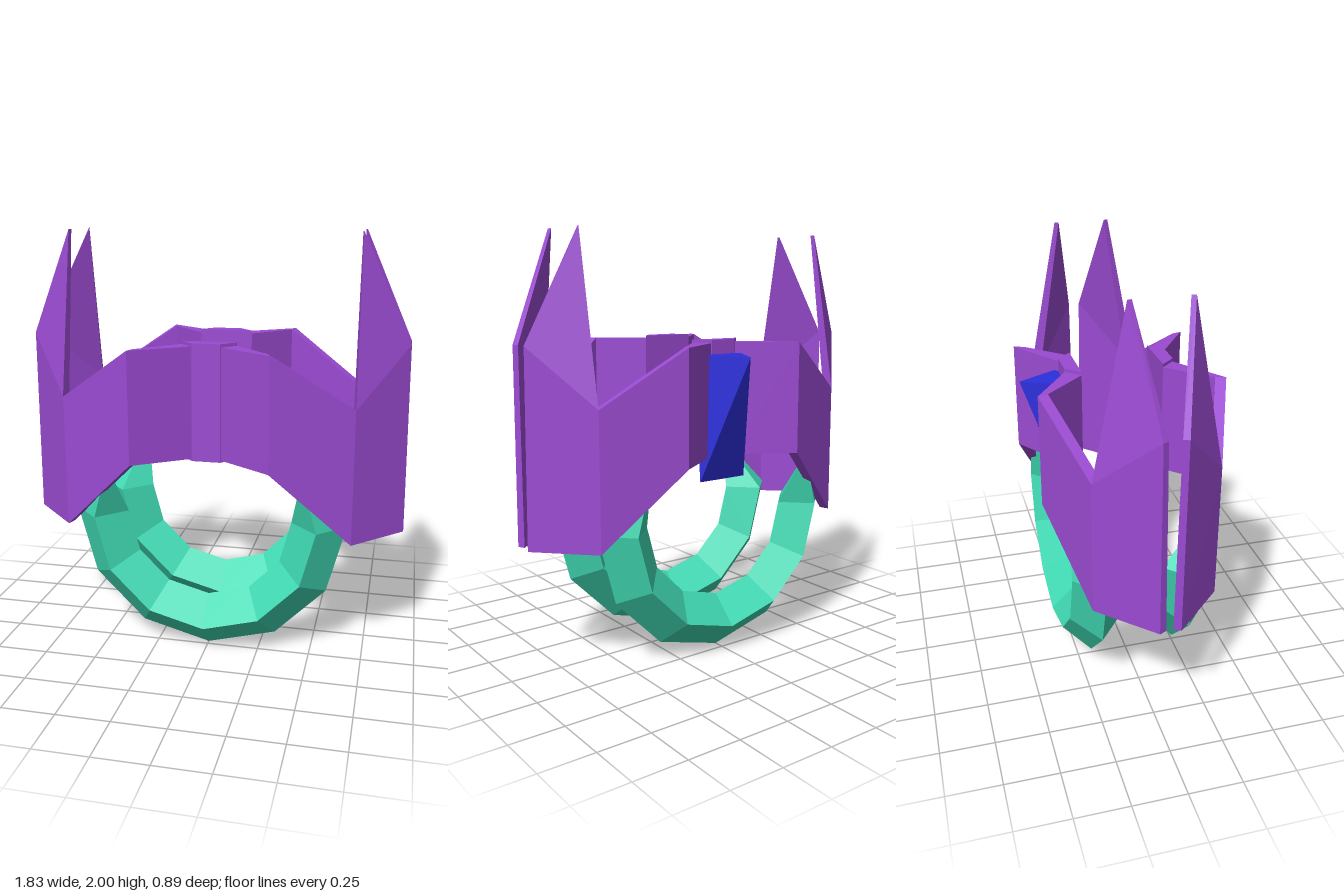
import * as THREE from 'three';
import { ConvexGeometry } from 'three/addons/geometries/ConvexGeometry.js';

const makeMaterial = (name, color) => {
  const m = new THREE.MeshStandardMaterial({ color, flatShading: true });
  m.name = name;
  return m;
};

// Flat-shaded geometry from points and triangle indices
function facets(points, index) {
  const indexed = new THREE.BufferGeometry();
  indexed.setAttribute('position', new THREE.Float32BufferAttribute(points.flat(), 3));
  indexed.setIndex(index);
  const g = indexed.toNonIndexed();
  g.computeVertexNormals();
  return g;
}

// Solid between a front polygon and a matching back polygon
function prism(front, back) {
  const n = front.length, index = [];
  for (let i = 1; i < n - 1; i++) index.push(0, i, i + 1, n, n + i + 1, n + i);
  for (let i = 0; i < n; i++) {
    const j = (i + 1) % n;
    index.push(i, n + i, n + j, i, n + j, j);
  }
  return facets([...front, ...back], index);
}

// Mirror a polygon across x, keeping its first corner and its facing
function mirror(poly) {
  const p = poly.map(([x, y, z]) => [-x, y, z]);
  return [p[0], ...p.slice(1).reverse()];
}

// Half ring with a diamond section and a raised point at each end
function halfRing() {
  const R = 0.53, t = 0.13, cy = 0.663, cz = 0.2125, steps = 6;
  const points = [], index = [];
  for (let k = 0; k <= steps; k++) {
    const a = Math.PI + (k / steps) * Math.PI;
    for (const [dr, dz] of [[t, 0], [0, t], [-t, 0], [0, -t]]) {
      points.push([(R + dr) * Math.cos(a), cy + (R + dr) * Math.sin(a), cz + dz]);
    }
  }
  const startTip = points.length, endTip = startTip + 1;
  for (const s of [-1, 1]) {
    points.push([s * R * Math.cos(Math.PI / 6), cy + R * 0.5, cz + t]);
  }
  for (let j = 0; j < 4; j++) {
    const j2 = (j + 1) % 4;
    for (let k = 0; k < steps; k++) {
      const a = k * 4 + j, b = a + 4, d = k * 4 + j2, c = d + 4;
      index.push(a, b, c, a, c, d);
    }
    index.push(j, j2, startTip);
    index.push(steps * 4 + j, endTip, steps * 4 + j2);
  }
  return facets(points, index);
}

export function createModel() {
  const purple = makeMaterial('purple', 0x9b4bd2);
  const green = makeMaterial('seaGreen', 0x40d9b3);
  const blue = makeMaterial('blue', 0x2c2fdc);

  const model = new THREE.Group();
  model.name = 'armBand';
  const add = (parent, name, geometry, material) => {
    const mesh = new THREE.Mesh(geometry, material);
    mesh.name = name;
    parent.add(mesh);
  };

  // Wing panels: outer and inner corners, each [x, y, z]
  const panels = {
    innerPanel: [
      [[0.07, 0.96, 0.258], [0.32, 0.96, 0.43], [0.32, 1.49, 0.43], [0.07, 1.49, 0.258]],
      [[0.13, 0.96, 0.193], [0.305, 0.96, 0.382], [0.305, 1.49, 0.382], [0.13, 1.49, 0.193]],
    ],
    slopedPanel: [
      [[0.32, 0.96, 0.43], [0.685, 0.6, 0.285], [0.685, 1.235, 0.285], [0.32, 1.49, 0.43]],
      [[0.305, 0.96, 0.382], [0.672, 0.6, 0.238], [0.672, 1.235, 0.238], [0.305, 1.49, 0.382]],
    ],
    spikePanel: [
      [[0.685, 1.235, 0.285], [0.685, 0.6, 0.285], [0.917, 0.6, 0.048], [0.908, 1.5, 0.054], [0.68, 2, 0.138]],
      [[0.672, 1.235, 0.238], [0.672, 0.6, 0.238], [0.902, 0.6, 0.016], [0.895, 1.5, 0.028], [0.674, 2, 0.118]],
    ],
  };

  // Front and back halves share one design, turned half round
  for (const [name, turn] of [['frontHalf', 0], ['backHalf', Math.PI]]) {
    const half = new THREE.Group();
    half.name = name;
    half.rotation.y = turn;
    half.position.z = 0.0125;

    add(half, 'ring', halfRing(), green);
    for (const [part, [outer, inner]] of Object.entries(panels)) {
      add(half, part, prism(outer, inner), purple);
      add(half, part + 'Mirrored', prism(mirror(outer), mirror(inner)), purple);
    }

    // Tapered block joining the two wings
    const rect = (w, z) => [[-w, 0.95, z], [w, 0.95, z], [w, 1.505, z], [-w, 1.505, z]];
    add(half, 'clasp', prism(rect(0.066, 0.26), rect(0.13, 0.193)), purple);
    model.add(half);
  }

  // Pointed wedge behind the back clasp
  const wedge = [
    [-0.13, 1.44, -0.19], [0.13, 1.44, -0.19], [0, 1.435, -0.445],
    [-0.13, 0.845, -0.245], [0.13, 0.845, -0.245],
  ].map((p) => new THREE.Vector3(...p));
  add(model, 'backWedge', new ConvexGeometry(wedge), blue);

  return model;
}
